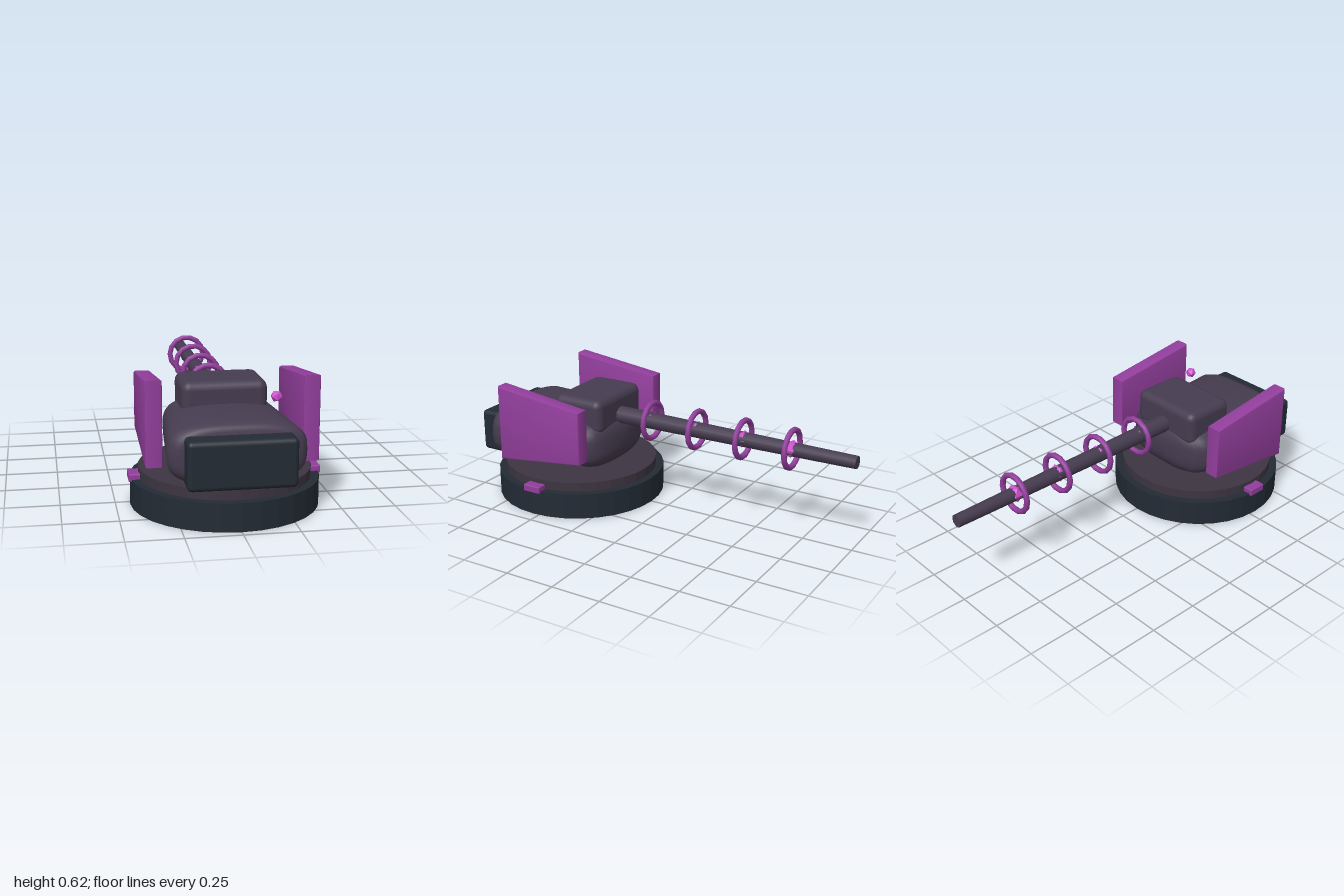
import * as THREE from 'three';
import { toCreasedNormals } from 'three/addons/utils/BufferGeometryUtils.js';
import { RoundedBoxGeometry } from 'three/addons/geometries/RoundedBoxGeometry.js';

const paint = (color, flatShading = false) => new THREE.MeshStandardMaterial({ color, flatShading });
const hullGrey = paint(0x463c50);
const collarGrey = paint(0x3d3542, true);
const darkFlat = paint(0x232b35, true);
const dark = paint(0x232b35);
const purple = paint(0x923e9c);
const crystal = paint(0xd050d0, true);

// Tapered hull: superellipse sections [z, half width, bottom, top], front to back
function hullGeometry(sections, n = 40) {
  const pos = [], index = [];
  const soft = (v) => Math.sign(v) * Math.abs(v) ** (2 / 3);
  for (const [z, w, y0, y1] of sections) {
    for (let j = 0; j < n; j++) {
      const a = (j / n) * Math.PI * 2;
      pos.push(w * soft(Math.cos(a)), (y0 + y1) / 2 + ((y1 - y0) / 2) * soft(Math.sin(a)), z);
    }
  }
  const last = sections.length - 1;
  for (let i = 0; i < last; i++) {
    for (let j = 0; j < n; j++) {
      const k = (j + 1) % n;
      const a = i * n + j, b = i * n + k, c = a + n, d = b + n;
      index.push(a, c, b, b, c, d);
    }
  }
  // End caps
  const front = pos.length / 3, back = front + 1;
  for (const s of [sections[0], sections[last]]) pos.push(0, (s[2] + s[3]) / 2, s[0]);
  for (let j = 0; j < n; j++) {
    const k = (j + 1) % n;
    index.push(front, j, k, back, last * n + k, last * n + j);
  }
  const g = new THREE.BufferGeometry();
  g.setAttribute('position', new THREE.Float32BufferAttribute(pos, 3));
  g.setIndex(index);
  return toCreasedNormals(g, 0.8);
}

// Trapezoid shield with a small bevel, lying in the YZ plane and centred on x = 0
function shieldGeometry() {
  const b = 0.008;
  const shape = new THREE.Shape([
    [-0.752, 0.245], [-0.283, 0.303], [-0.283, 0.557], [-0.752, 0.615],
  ].map(([u, v]) => new THREE.Vector2(u, v)));
  const g = new THREE.ExtrudeGeometry(shape, {
    depth: 0.06, bevelThickness: b, bevelSize: b, bevelSegments: 2,
  });
  g.translate(0, 0, -0.03);
  g.rotateY(Math.PI / 2);
  return toCreasedNormals(g, 0.6);
}

export function createModel() {
  const model = new THREE.Group();
  const add = (name, geometry, material, x = 0, y = 0, z = 0) => {
    const mesh = new THREE.Mesh(geometry, material);
    mesh.name = name;
    mesh.position.set(x, y, z);
    model.add(mesh);
    return mesh;
  };

  // Round base and turning collar
  const baseZ = 0.533;
  add('base', new THREE.CylinderGeometry(0.434, 0.434, 0.13, 32), darkFlat, 0, 0.065, baseZ);
  add('collar', new THREE.CylinderGeometry(0.396, 0.396, 0.055, 32), collarGrey, 0, 0.1485, baseZ);

  // Turret body, roof hatch and front block
  add('turretBody', hullGeometry([
    [0.906, 0.25, 0.225, 0.425],
    [0.9, 0.272, 0.205, 0.441],
    [0.885, 0.293, 0.189, 0.452],
    [0.855, 0.305, 0.18, 0.46],
    [0.6, 0.283, 0.18, 0.46],
    [0.36, 0.262, 0.184, 0.458],
    [0.325, 0.25, 0.192, 0.45],
    [0.295, 0.22, 0.207, 0.437],
    [0.272, 0.155, 0.238, 0.41],
    [0.26, 0.07, 0.272, 0.375],
  ]), hullGrey);
  add('roofHatch', new RoundedBoxGeometry(0.395, 0.18, 0.28, 3, 0.04), hullGrey, 0, 0.472, 0.42);
  add('frontBlock', new RoundedBoxGeometry(0.473, 0.217, 0.16, 3, 0.022), dark, 0, 0.303, 0.92);

  // Barrel pointing to the back
  const barrel = add('barrel', new THREE.CylinderGeometry(0.031, 0.045, 1.35, 12), hullGrey, 0, 0.445, -0.325);
  barrel.rotation.x = -Math.PI / 2;

  // Coil rings, each with a crystal set in the barrel
  for (let i = 0; i < 4; i++) {
    const z = 0.09 - i * 0.255;
    add('coilRing' + (i + 1), new THREE.TorusGeometry(0.092, 0.014, 8, 14), purple, 0, 0.447, z);
    add('coilCrystal' + (i + 1), new THREE.IcosahedronGeometry(0.043), crystal, 0, 0.447, z);
  }

  // Floating sensor crystal
  add('sensorCrystal', new THREE.IcosahedronGeometry(0.027), crystal, 0.205, 0.517, 0.685);

  // Side shields and base lugs
  const shield = shieldGeometry();
  const lug = new RoundedBoxGeometry(0.1, 0.037, 0.095, 2, 0.006);
  for (const [side, s] of [['left', 1], ['right', -1]]) {
    add(side + 'Shield', shield, purple, s * 0.348, 0, 0);
    add(side + 'Lug', lug, purple, s * 0.393, 0.137, baseZ);
  }
  return model;
}
